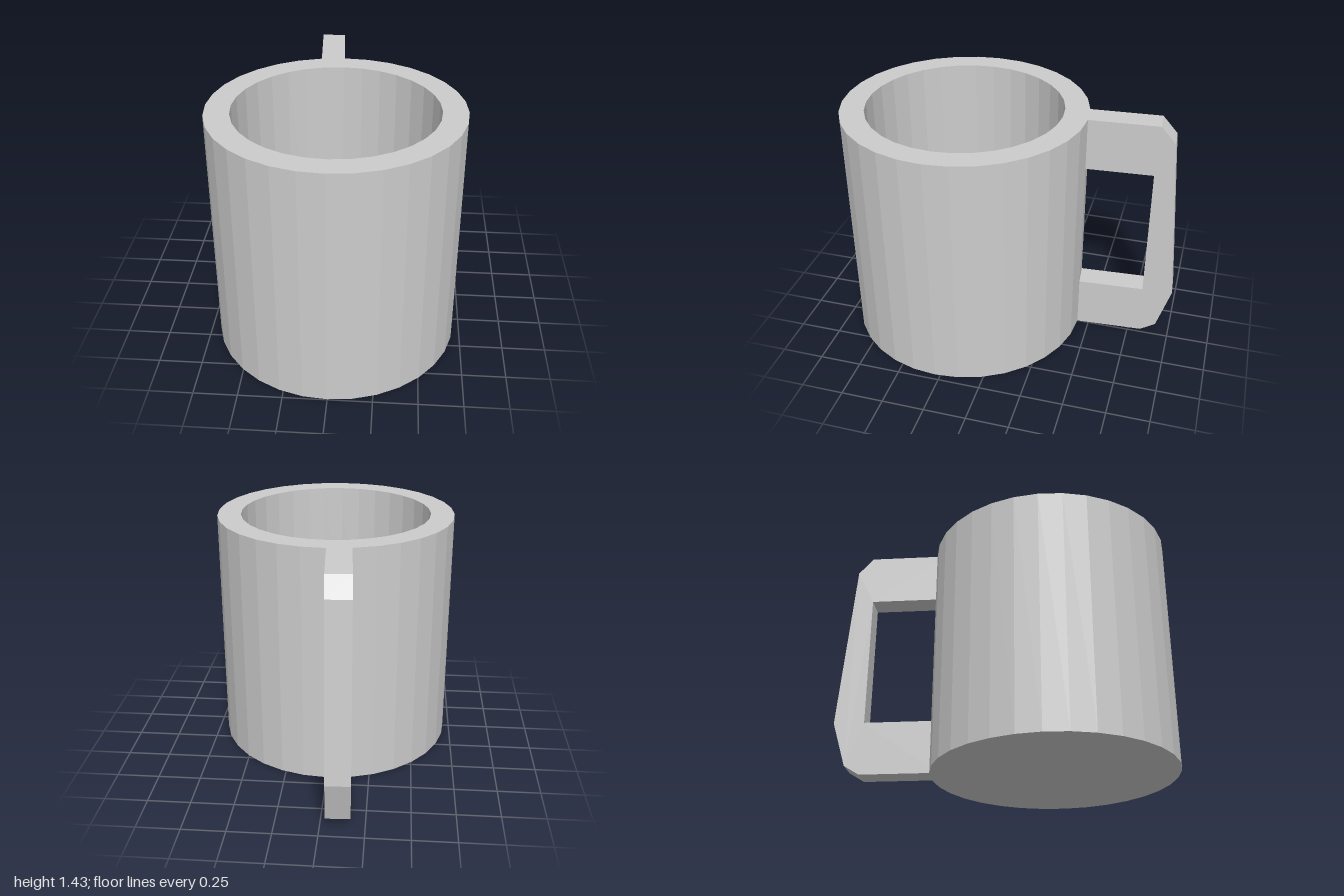
import * as THREE from 'three';

const HEIGHT = 1.43;
const OUTER = 0.713;
const INNER = 0.572;
const FLOOR = 0.14;
const CUP_Z = 0.283;

export function createModel() {
  const model = new THREE.Group();
  model.name = 'mug';
  const grey = new THREE.MeshStandardMaterial({ color: 0xcccccc, flatShading: true });
  grey.name = 'light grey';

  // Cup: base, outer wall, flat rim, inner wall and floor in one lathe
  const profile = [
    [0, 0], [OUTER, 0], [OUTER, HEIGHT], [INNER, HEIGHT], [INNER, FLOOR], [0, FLOOR],
  ].map(([r, y]) => new THREE.Vector2(r, y));
  const cup = new THREE.Mesh(new THREE.LatheGeometry(profile, 32), grey);
  cup.name = 'cup';
  cup.position.z = CUP_Z;
  model.add(cup);

  // Handle: C-shaped side profile (distance out from the cup, height)
  const outline = [
    [-0.06, 0], [0.4, 0], [0.49, 0.055], [0.57, 0.315], [0.493, 1.33], [0.405, HEIGHT],
    [-0.06, HEIGHT], [-0.06, 1.12], [0.39, 1.12], [0.39, 0.315], [-0.06, 0.315],
  ].map(([d, y]) => new THREE.Vector2(d, y));
  const handleGeometry = new THREE.ExtrudeGeometry(new THREE.Shape(outline), {
    depth: 0.14, bevelEnabled: false,
  });
  handleGeometry.translate(0, 0, -0.14);
  handleGeometry.rotateY(Math.PI / 2);
  const handle = new THREE.Mesh(handleGeometry, grey);
  handle.name = 'handle';
  handle.position.z = CUP_Z - OUTER;
  handle.rotation.y = 0.062; // slightly skewed from straight back
  model.add(handle);

  return model;
}
